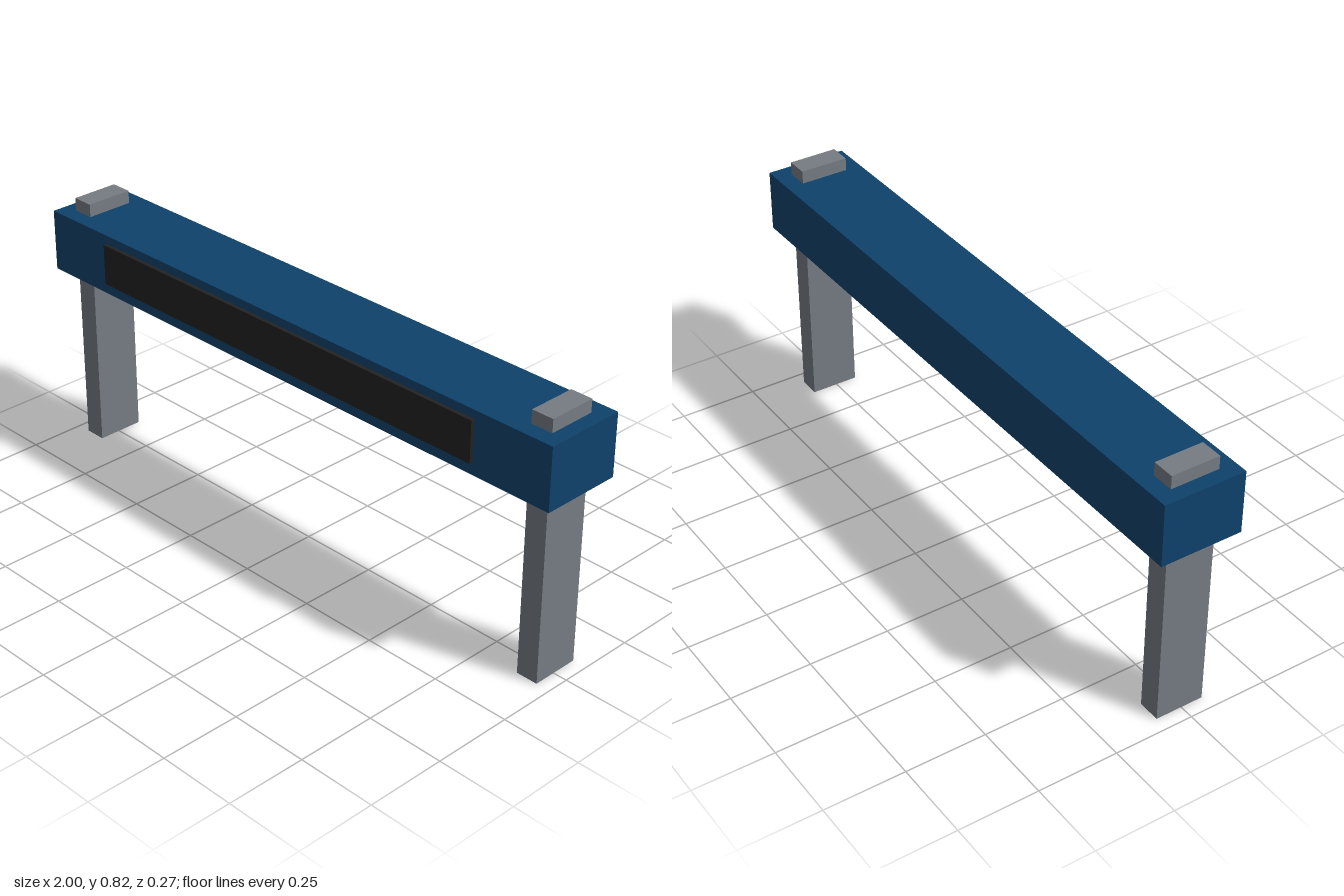
import * as THREE from 'three';

const material = (name, color) => {
  const m = new THREE.MeshStandardMaterial({ color });
  m.name = name;
  return m;
};

export function createModel() {
  const group = new THREE.Group();
  group.name = 'beamOnPosts';
  const blue = material('deep blue', 0x0f426c);
  const grey = material('steel grey', 0x757c82);
  const black = material('near black', 0x222222);

  // Box given by its lower and upper corners
  const box = (name, mat, [x0, y0, z0], [x1, y1, z1]) => {
    const mesh = new THREE.Mesh(new THREE.BoxGeometry(x1 - x0, y1 - y0, z1 - z0), mat);
    mesh.position.set((x0 + x1) / 2, (y0 + y1) / 2, (z0 + z1) / 2);
    mesh.name = name;
    group.add(mesh);
  };

  // Long crossbeam
  box('beam', blue, [-1, 0.583, -0.136], [1, 0.778, 0.121]);

  // Display panel, just clear of the beam's front
  box('frontPanel', black, [-0.742, 0.625, 0.125], [0.742, 0.754, 0.137]);

  // Posts passing up through the beam
  for (const [name, x] of [['leftPost', 0.92], ['rightPost', -0.92]]) {
    box(name, grey, [x - 0.035, 0, -0.083], [x + 0.035, 0.819, 0.07]);
  }

  return group;
}
